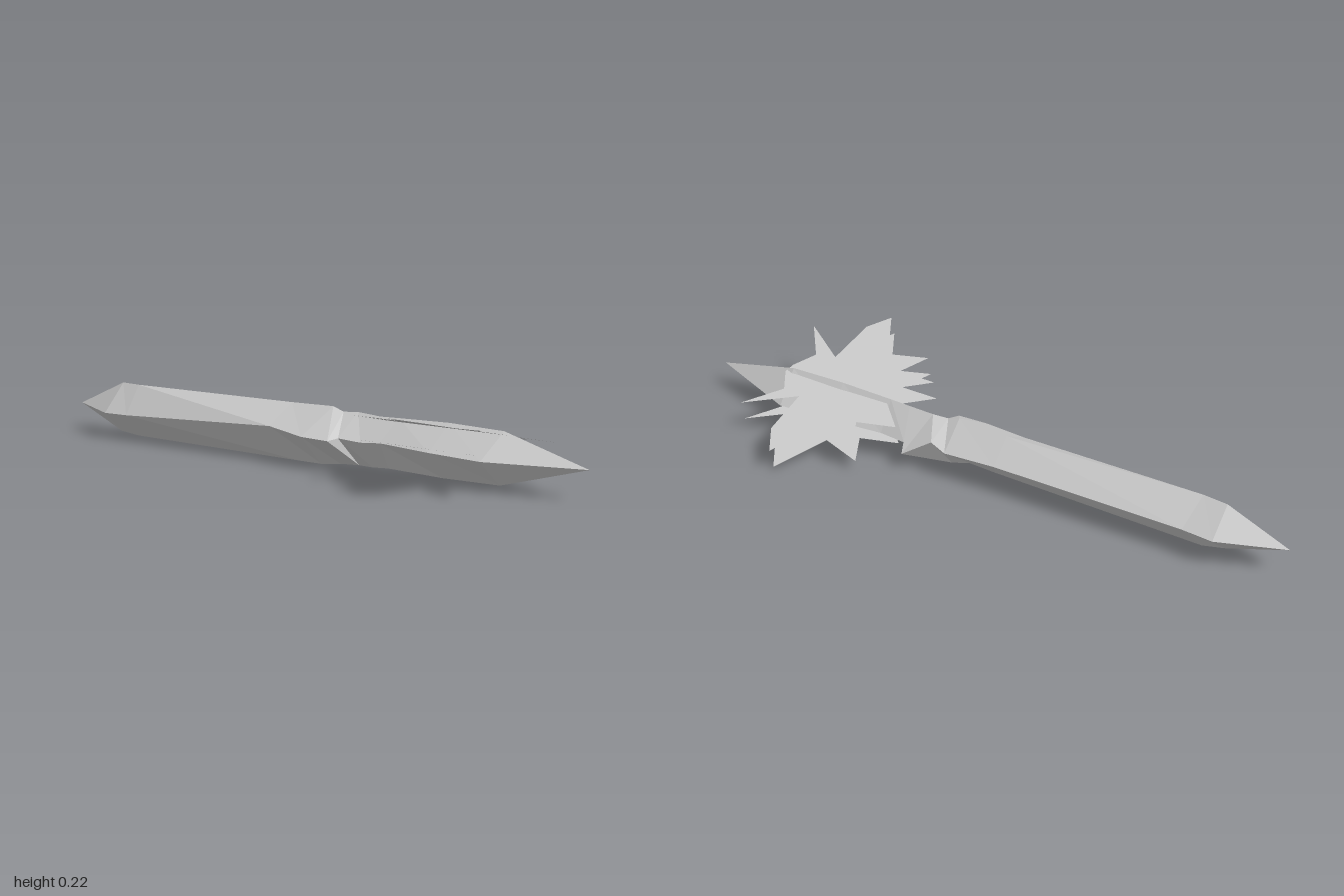
import * as THREE from 'three';

const stone = new THREE.MeshStandardMaterial({ color: 0xcccccc, flatShading: true });
stone.name = 'paleStone';
const sheet = new THREE.MeshStandardMaterial({ color: 0xcccccc, side: THREE.DoubleSide });
sheet.name = 'paleSheet';

// Flat-faced loft through four-cornered rings; each corner is [x, y, z]
// in the order top, front, bottom, back.
function loft(name, rings) {
  const pos = [];
  const tri = (a, b, c) => pos.push(...a, ...b, ...c);
  for (let i = 0; i < rings.length - 1; i++) {
    for (let k = 0; k < 4; k++) {
      const n = (k + 1) % 4, r = rings[i], s = rings[i + 1];
      tri(r[k], r[n], s[n]);
      tri(r[k], s[n], s[k]);
    }
  }
  const geo = new THREE.BufferGeometry();
  geo.setAttribute('position', new THREE.Float32BufferAttribute(pos, 3));
  geo.computeVertexNormals();
  const mesh = new THREE.Mesh(geo, stone);
  mesh.name = name;
  return mesh;
}

const point = (x, y, z) => Array.from({ length: 4 }, () => [x, y, z]);

// Outline of the jagged star as [x, z]
const starOutline = [
  [0.565, -0.345], [0.62, -0.26], [0.625, -0.105], [0.78, -0.205], [0.69, -0.095],
  [0.735, -0.025], [0.73, 0.01], [0.69, 0.08], [0.78, 0.195], [0.625, 0.095],
  [0.615, 0.26], [0.565, 0.33], [0.475, 0.175], [0.345, 0.21], [0.395, 0.12],
  [0.265, 0.12], [0.355, 0.055], [0.27, 0.02], [0.355, -0.015], [0.265, -0.1],
  [0.39, -0.13], [0.345, -0.22], [0.48, -0.18],
];

function star(name, height, shift) {
  const shape = new THREE.Shape(starOutline.map(([x, z]) => new THREE.Vector2(x, -z)));
  const geo = new THREE.ShapeGeometry(shape);
  geo.rotateX(-Math.PI / 2);
  // tilt: the front side sits higher
  const p = geo.attributes.position;
  for (let i = 0; i < p.count; i++) {
    const z = p.getZ(i);
    p.setXYZ(i, p.getX(i), height + 0.21 * z, z + shift);
  }
  geo.computeVertexNormals();
  const mesh = new THREE.Mesh(geo, sheet);
  mesh.name = name;
  return mesh;
}

export function createModel() {
  const group = new THREE.Group();
  group.name = 'crystalWand';

  // Long pointed grip, swelling into the collar
  const collarStart = [[0.09, 0.178, -0.012], [0.07, 0.098, 0.115], [0.07, 0.004, 0.02], [0.09, 0.1, -0.1]];
  group.add(loft('grip', [
    point(-1, 0.09, 0),
    [[-0.8, 0.175, 0.0], [-0.8, 0.083, 0.085], [-0.8, 0.015, 0.01], [-0.8, 0.1, -0.09]],
    [[-0.72, 0.175, 0.008], [-0.7, 0.085, 0.087], [-0.73, 0.005, 0.0], [-0.7, 0.1, -0.082]],
    [[-0.08, 0.174, -0.018], [-0.08, 0.112, 0.087], [-0.02, 0.003, 0.015], [-0.08, 0.105, -0.092]],
    collarStart,
  ]));

  // Faceted, twisted collar
  const collarEnd = [[0.27, 0.164, -0.012], [0.26, 0.095, 0.07], [0.26, 0.014, 0.012], [0.25, 0.075, -0.08]];
  group.add(loft('collar', [
    collarStart,
    [[0.13, 0.165, -0.012], [0.17, 0.095, 0.113], [0.12, 0.006, -0.01], [0.14, 0.12, -0.095]],
    [[0.18, 0.168, -0.02], [0.18, 0.1, 0.075], [0.2, 0.012, 0.0], [0.23, 0.064, -0.124]],
    collarEnd,
  ]));

  // Pointed head
  group.add(loft('head', [
    collarEnd,
    [[0.34, 0.166, -0.012], [0.33, 0.1, 0.066], [0.32, 0.018, 0.014], [0.34, 0.075, -0.072]],
    [[0.52, 0.17, -0.013], [0.52, 0.095, 0.085], [0.52, 0.013, 0.016], [0.52, 0.07, -0.085]],
    [[0.71, 0.165, -0.014], [0.7, 0.09, 0.088], [0.72, 0.016, 0.018], [0.71, 0.068, -0.095]],
    point(1, 0.09, 0),
  ]));

  // Two parallel jagged star sheets
  group.add(star('upperStar', 0.157, 0));
  group.add(star('lowerStar', 0.091, 0.014));
  return group;
}
